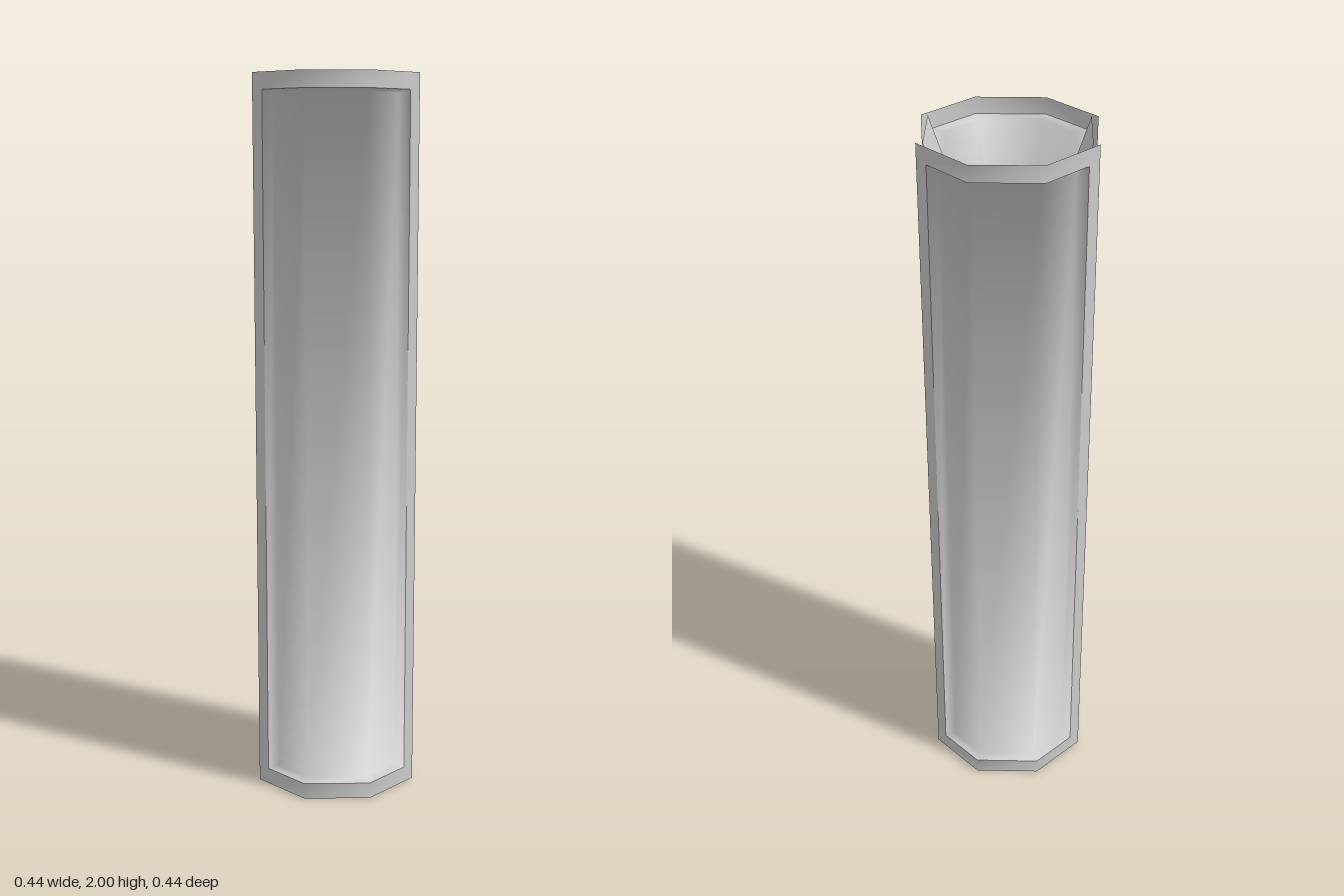
import * as THREE from 'three';
import { mergeVertices } from 'three/addons/utils/BufferGeometryUtils.js';

const H = 2;              // height
const R = 0.222;          // octagon apothem
const C = 0.092;          // half of an octagon side
const EDGE = 0.055;       // where the side border of a shell ends
const RI = 0.2;           // apothem of the recessed panel
const CI = 0.083;
const RAIL = 0.045;       // height of the end rails

const smooth = new THREE.MeshStandardMaterial({ color: 0xcccccc, side: THREE.DoubleSide });
const faceted = new THREE.MeshStandardMaterial({ color: 0xcccccc, side: THREE.DoubleSide, flatShading: true });

// Surface from rows of [x, y, z] points, lowest row first; skip(row, col) leaves holes
function gridSurface(rows, skip = () => false) {
  const cols = rows[0].length;
  const index = [];
  for (let r = 0; r < rows.length - 1; r++) {
    for (let c = 0; c < cols - 1; c++) {
      if (skip(r, c)) continue;
      const a = r * cols + c, b = a + 1, d = a + cols, e = d + 1;
      index.push(a, b, e, a, e, d);
    }
  }
  const geo = new THREE.BufferGeometry();
  geo.setAttribute('position', new THREE.Float32BufferAttribute(rows.flat(2), 3));
  geo.setIndex(index);
  return mergeVertices(geo);
}

// Smooth normals where every face counts equally, so thin lips bend the shading
function softNormals(geo) {
  const pos = geo.attributes.position;
  const normals = Array.from({ length: pos.count }, () => new THREE.Vector3());
  const tri = new THREE.Triangle();
  const n = new THREE.Vector3();
  for (let i = 0; i < geo.index.count; i += 3) {
    const ids = [0, 1, 2].map((k) => geo.index.getX(i + k));
    tri.setFromAttributeAndIndices(pos, ...ids);
    if (tri.getArea() < 1e-8) continue;
    tri.getNormal(n);
    ids.forEach((id) => normals[id].add(n));
  }
  const flat = normals.flatMap((v) => v.normalize().toArray());
  geo.setAttribute('normal', new THREE.Float32BufferAttribute(flat, 3));
  return geo;
}

const atHeight = (section, y) => section.map(([x, z]) => [x, y, z]);

function named(name, geo, material) {
  const mesh = new THREE.Mesh(geo, material);
  mesh.name = name;
  return mesh;
}

// Three-sided shell: a border frame around a recessed panel
function makeShell() {
  const shell = new THREE.Group();
  const outer = [[-EDGE, R], [C, R], [R, C], [R, -EDGE]];
  const inner = [[-EDGE + 0.022, RI], [CI, RI], [RI, CI], [RI, -EDGE + 0.022]];

  // Border frame
  const section = [[-C, R], ...outer, [R, -C]];
  const frame = gridSurface(
    [0, RAIL, H - RAIL, H].map((y) => atHeight(section, y)),
    (r, c) => r === 1 && c > 0 && c < 4
  );
  frame.computeVertexNormals();
  shell.add(named('shellFrame', frame, smooth));

  // Recessed panel with its slanted lip
  const lipEnd = (y) => atHeight([outer[0], ...outer, outer[3]], y);
  const panelRow = (yLip, y) => [
    ...atHeight([outer[0]], yLip), ...atHeight(inner, y), ...atHeight([outer[3]], yLip),
  ];
  const panel = gridSurface([
    lipEnd(RAIL),
    panelRow(RAIL, RAIL + 0.008),
    panelRow(H - RAIL, H - RAIL - 0.008),
    lipEnd(H - RAIL),
  ]);
  shell.add(named('recessedPanel', softNormals(panel), smooth));
  return shell;
}

// Pleated strip on a diagonal side of the octagon
function makePleats() {
  const bands = 18;
  const rows = [];
  for (let i = 0; i <= bands; i++) {
    const apothem = i % 2 ? 0.168 : 0.205;
    const m = apothem * Math.SQRT1_2, h = C * Math.SQRT1_2;
    rows.push(atHeight([[-m - h, m - h], [-m + h, m + h]], (i * H) / bands));
  }
  const geo = gridSurface(rows);
  geo.computeVertexNormals();
  return named('pleats', geo, faceted);
}

export function createModel() {
  const model = new THREE.Group();
  model.name = 'octagonalColumn';
  // Each half is one shell and one pleated strip, turned half a circle
  ['front', 'back'].forEach((side, i) => {
    const shell = makeShell();
    shell.name = `${side}Shell`;
    const pleats = makePleats();
    pleats.name = `${side}Pleats`;
    shell.rotation.y = pleats.rotation.y = i * Math.PI;
    model.add(shell, pleats);
  });
  return model;
}
